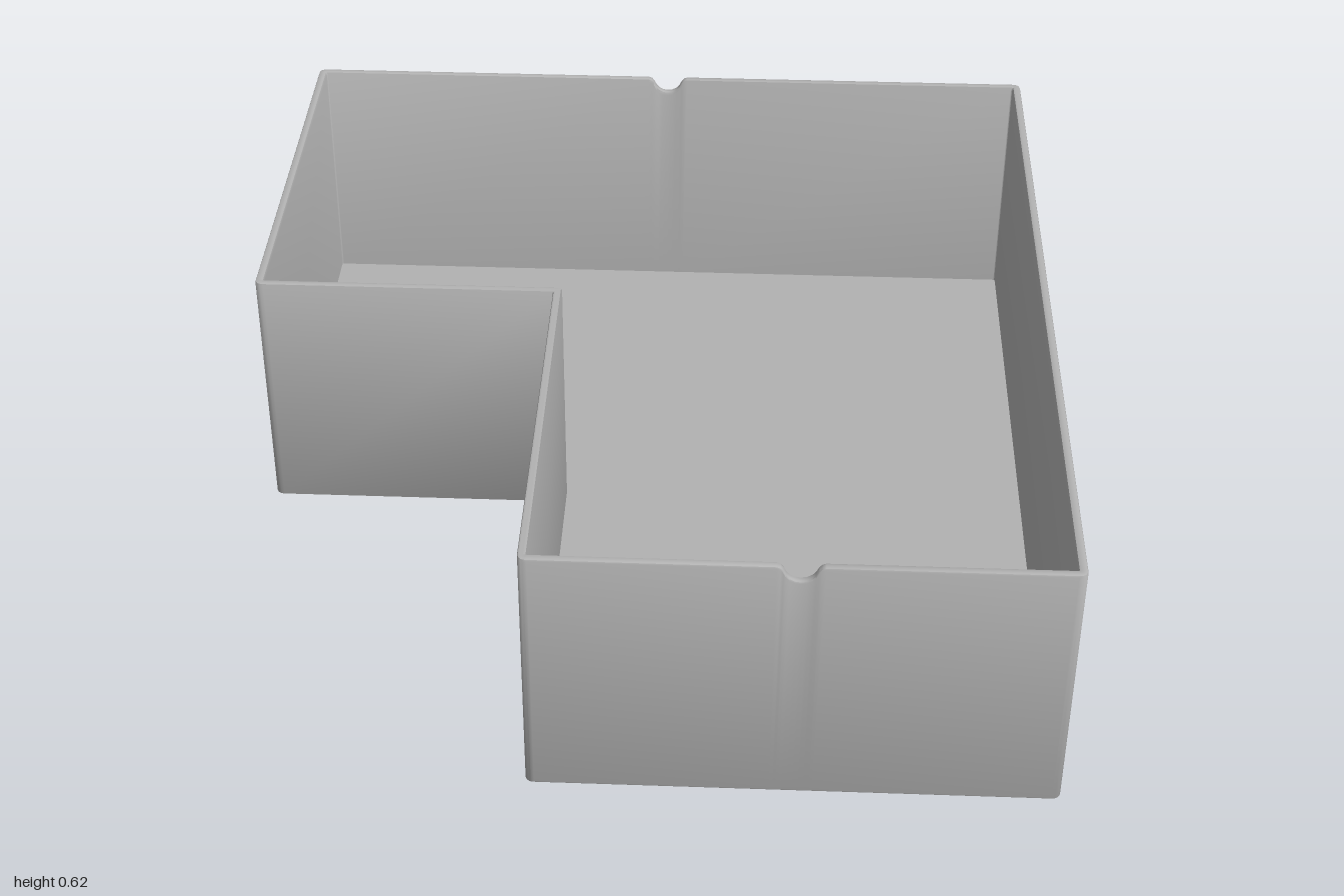
import * as THREE from 'three';
import { toCreasedNormals } from 'three/addons/utils/BufferGeometryUtils.js';

// Plan of the L-shaped tray as (x, z), clockwise seen from above
const corners = [[-0.92, -1], [0.92, -1], [0.92, 1], [-0.225, 1], [-0.225, 0.03], [-0.92, 0.03]]
  .map(([x, z]) => new THREE.Vector2(x, z));
const concave = 4;

// Finger notches: edge index -> centre x; profile is (offset along edge, depth)
const notchCentre = { 0: 0, 2: 0.3475 };
const halfNotch = [[0.05, 0], [0.042, 0.003], [0.036, 0.01], [0.03, 0.022], [0.023, 0.03], [0.012, 0.036]];
const notch = [
  ...halfNotch.map(([u, d]) => [-u, d]),
  [0, 0.038],
  ...halfNotch.slice().reverse(),
];

// Wall section as (inset, height): outside from the base, over the rim, down to the floor
const section = [
  [0.005, 0], [0.0015, 0.0015], [0, 0.005], [0, 0.615], [0.0015, 0.6185], [0.005, 0.62],
  [0.013, 0.62], [0.0175, 0.6185], [0.02, 0.612], [0.02, 0.02],
];

// One closed loop of the plan at a given inset, with rounded corners and notch points
function outline(inset, height) {
  const points = [];
  const n = corners.length;
  corners.forEach((corner, i) => {
    const before = corner.clone().sub(corners[(i + n - 1) % n]).normalize();
    const after = corners[(i + 1) % n].clone().sub(corner).normalize();
    const tip = corner.clone()
      .add(new THREE.Vector2(-before.y, before.x).multiplyScalar(inset))
      .add(new THREE.Vector2(-after.y, after.x).multiplyScalar(inset));
    const radius = i === concave ? 0.002 + inset * 0.1 : Math.max(0.02 - inset, 0.004);
    const bend = new THREE.QuadraticBezierCurve(
      tip.clone().addScaledVector(before, -radius), tip, tip.clone().addScaledVector(after, radius));
    for (const p of bend.getPoints(5)) points.push(new THREE.Vector3(p.x, height, p.y));
    if (i in notchCentre) {
      for (const [u, depth] of notch) {
        const y = height > 0.5 ? height - depth : height;
        points.push(new THREE.Vector3(notchCentre[i] + after.x * u, y, tip.y));
      }
    }
  });
  return points;
}

// Skin joining the successive loops
function loft(loops) {
  const n = loops[0].length;
  const index = [];
  for (let j = 0; j < loops.length - 1; j++) {
    for (let i = 0; i < n; i++) {
      const k = (i + 1) % n;
      const a = j * n + i, b = j * n + k, c = b + n, d = a + n;
      index.push(a, d, b, b, d, c);
    }
  }
  const geometry = new THREE.BufferGeometry().setFromPoints(loops.flat());
  geometry.setIndex(index);
  return toCreasedNormals(geometry, 0.7);
}

// Flat panel filling a loop, facing up (+1) or down (-1)
function panel(loop, facing) {
  const shape = new THREE.Shape(loop.map((p) => new THREE.Vector2(p.x, -facing * p.z)));
  return new THREE.ShapeGeometry(shape).rotateX(-facing * Math.PI / 2).translate(0, loop[0].y, 0);
}

export function createModel() {
  const tray = new THREE.Group();
  tray.name = 'tray';
  const grey = new THREE.MeshStandardMaterial({ color: 0xb2b2b2 });
  grey.name = 'grey';

  const add = (name, geometry) => {
    const mesh = new THREE.Mesh(geometry, grey);
    mesh.name = name;
    tray.add(mesh);
  };

  const loops = section.map(([inset, height]) => outline(inset, height));
  add('walls', loft(loops));
  add('underside', panel(loops[0], -1));
  add('floor', panel(loops[loops.length - 1], 1));
  return tray;
}
